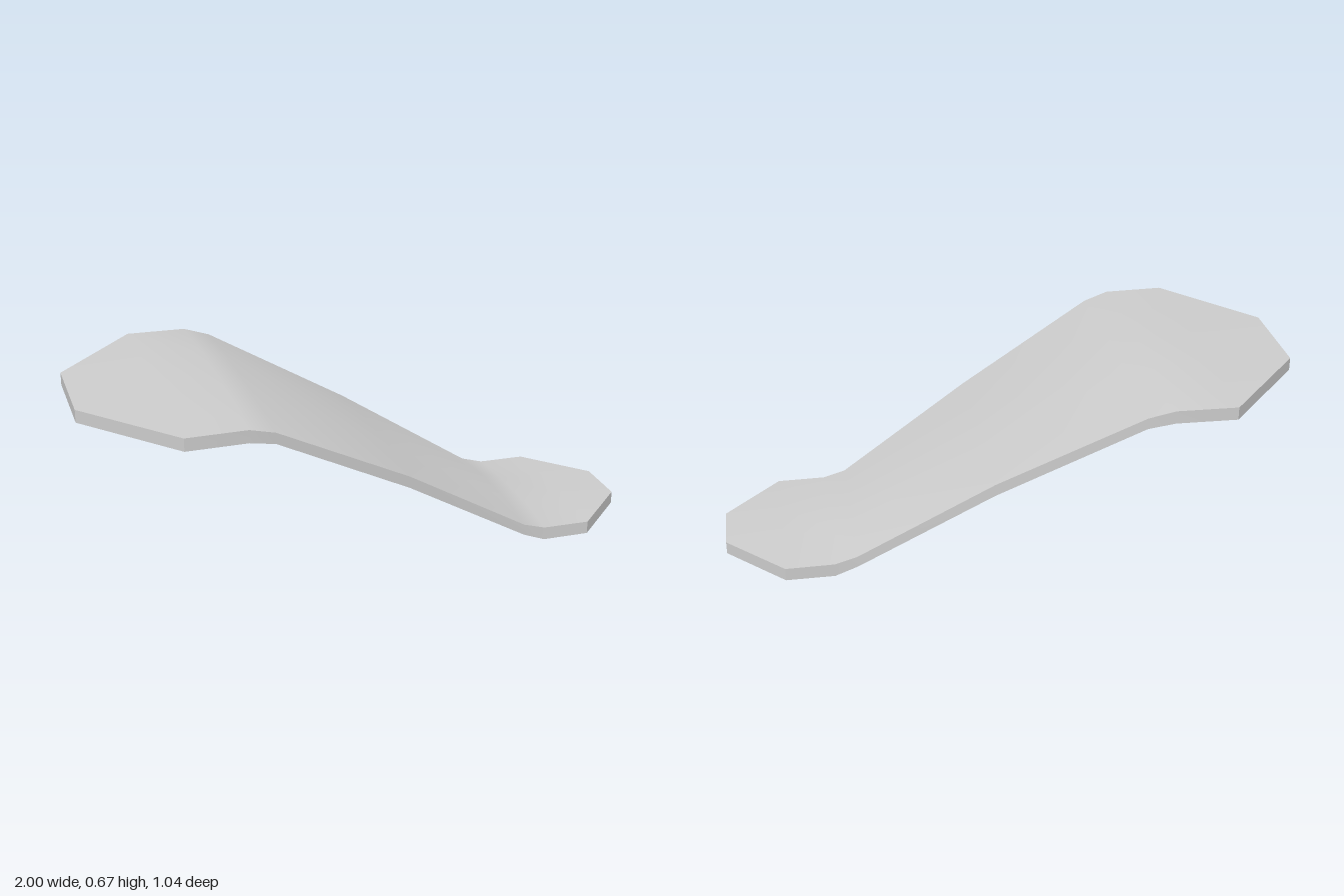
import * as THREE from 'three';
import { toCreasedNormals } from 'three/addons/utils/BufferGeometryUtils.js';

// Cross-sections along x: [x, half width, half width of flat crown, underside y, edge y, crown y]
const SECTIONS = [
  [-1.00, 0.18, 0.18, 0.605, 0.650, 0.650],
  [-0.71, 0.52, 0.18, 0.605, 0.650, 0.660],
  [-0.50, 0.514, 0.18, 0.605, 0.650, 0.669],
  [-0.41, 0.50, 0.175, 0.585, 0.624, 0.645],
  [0.08, 0.395, 0.15, 0.318, 0.360, 0.381],
  [0.55, 0.31, 0.115, 0.030, 0.070, 0.090],
  [0.63, 0.31, 0.11, 0.000, 0.047, 0.065],
  [0.80, 0.31, 0.105, 0.000, 0.046, 0.056],
  [1.00, 0.10, 0.10, 0.000, 0.045, 0.045],
];

function loft(sections) {
  const rings = sections.map(([x, w, c, bottom, edge, crown]) => [
    [-w, edge], [-c, crown], [c, crown], [w, edge], [w, bottom], [-w, bottom],
  ].map(([z, y]) => new THREE.Vector3(x, y, z)));

  const points = [];
  const triangle = (a, b, c) => {
    // skip triangles that collapse where the crown meets the edge
    if (!a.equals(b) && !b.equals(c) && !c.equals(a)) points.push(a, b, c);
  };
  const quad = (a, b, c, d) => { triangle(a, b, c); triangle(a, c, d); };

  // Skin between neighbouring sections
  for (let i = 0; i < rings.length - 1; i++) {
    const p = rings[i], q = rings[i + 1];
    for (let j = 0; j < 6; j++) {
      const k = (j + 1) % 6;
      quad(p[j], p[k], q[k], q[j]);
    }
  }
  // End faces
  const first = rings[0], last = rings[rings.length - 1];
  quad(first[5], first[4], first[3], first[0]);
  quad(last[0], last[3], last[4], last[5]);

  return new THREE.BufferGeometry().setFromPoints(points);
}

export function createModel() {
  const group = new THREE.Group();
  group.name = 'curvedPanel';
  // Smooth across the gentle bends, sharp along the rim
  const panel = new THREE.Mesh(
    toCreasedNormals(loft(SECTIONS), 0.7),
    new THREE.MeshStandardMaterial({ color: 0xcccccc }),
  );
  panel.name = 'panel';
  group.add(panel);
  return group;
}
